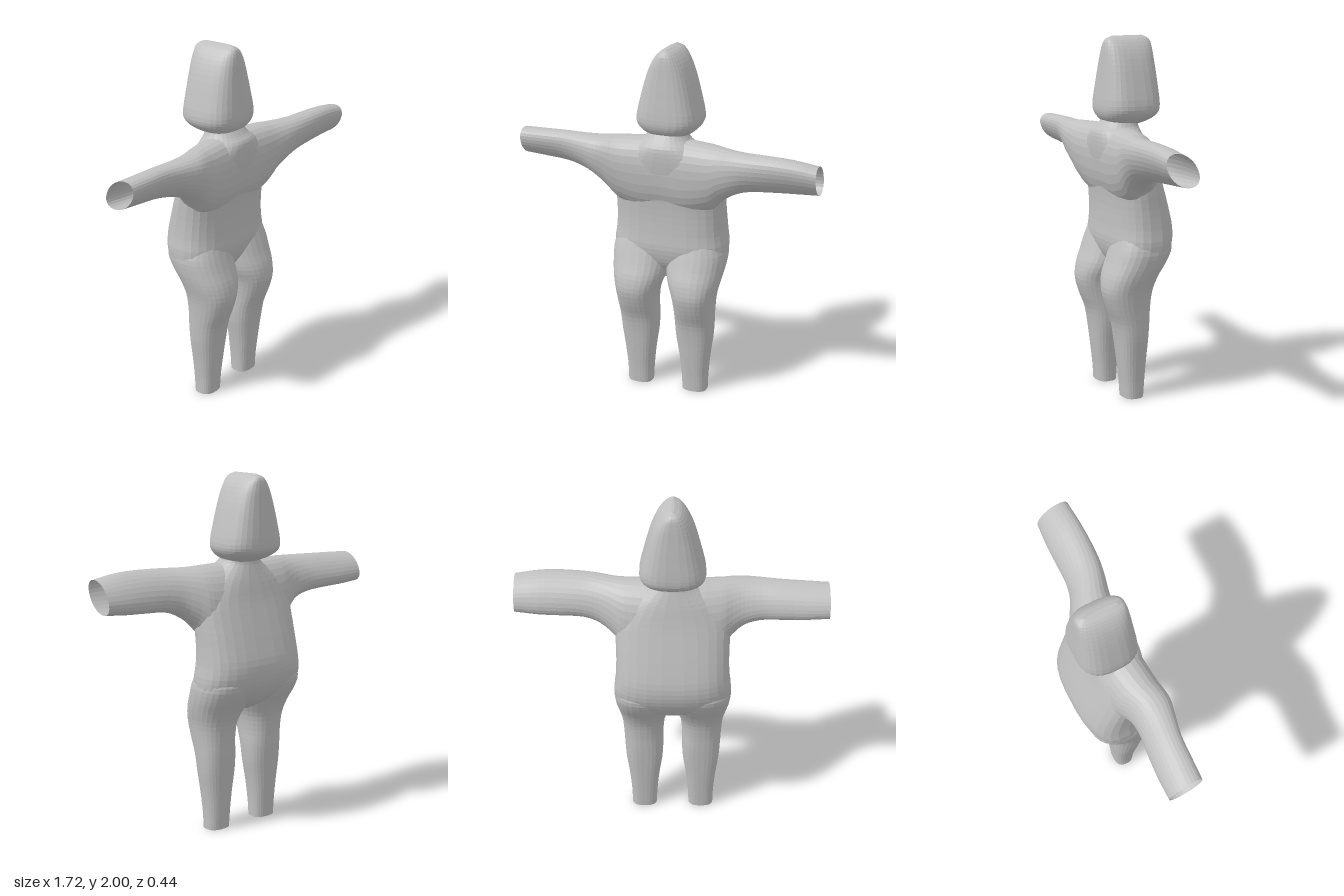
import * as THREE from 'three';

const SIDES = 28;

// Lofts rounded-box sections [t, uMin, uMax, vMin, vMax, squareness, shear] along y (u=x, v=z) or x (u=z, v=y)
function loft(sections, { axis = 'y', steps = 3, capStart = false, capEnd = false } = {}) {
  const curve = new THREE.CubicInterpolant(sections.map((_, i) => i), sections.flat(), 7);
  const rows = (sections.length - 1) * steps;
  const pos = [], idx = [];
  const put = (t, u, v) => axis === 'y' ? pos.push(u, t, v) : pos.push(t, v, u);
  const power = (c, n) => Math.sign(c) * Math.abs(c) ** (2 / n);
  const ends = [];
  for (let j = 0; j <= rows; j++) {
    const [t, u0, u1, v0, v1, n, shear] = curve.evaluate(j / steps);
    const uc = (u0 + u1) / 2, vc = (v0 + v1) / 2;
    if (j === 0 || j === rows) ends.push([t, uc, vc]);
    for (let i = 0; i < SIDES; i++) {
      const a = (i + 0.5) / SIDES * Math.PI * 2;
      const dv = power(Math.sin(a), n) * (v1 - v0) / 2;
      put(t, uc + power(Math.cos(a), n) * (u1 - u0) / 2 + shear * dv, vc + dv);
    }
  }
  for (let j = 0; j < rows; j++) for (let i = 0; i < SIDES; i++) {
    const k = (i + 1) % SIDES, a = j * SIDES + i, b = j * SIDES + k;
    idx.push(a, a + SIDES, b, b, a + SIDES, b + SIDES);
  }
  const cap = (end, row, flip) => {
    const c = pos.length / 3;
    put(...end);
    for (let i = 0; i < SIDES; i++) {
      const a = row * SIDES + i, b = row * SIDES + (i + 1) % SIDES;
      idx.push(c, flip ? a : b, flip ? b : a);
    }
  };
  if (capStart) cap(ends[0], 0, true);
  if (capEnd) cap(ends[1], rows, false);
  const g = new THREE.BufferGeometry();
  g.setAttribute('position', new THREE.Float32BufferAttribute(pos, 3));
  g.setIndex(idx);
  g.computeVertexNormals();
  return g;
}

export function createModel() {
  const model = new THREE.Group();
  model.name = 'figure';
  const grey = new THREE.MeshStandardMaterial({ color: 0xc0c0c0, flatShading: true, side: THREE.DoubleSide });
  grey.name = 'plain grey';
  const add = (name, geometry) => {
    const mesh = new THREE.Mesh(geometry, grey);
    mesh.name = name;
    mesh.position.x = -0.01;
    model.add(mesh);
  };

  // Torso, from crotch through the belly and chest up into the neck
  add('torso', loft([
    [0.69, -0.04, 0.04, -0.06, 0.05, 2, 0],
    [0.74, -0.20, 0.20, -0.13, 0.08, 2.2, 0],
    [0.80, -0.31, 0.31, -0.18, 0.115, 2.5, 0],
    [0.88, -0.328, 0.328, -0.215, 0.132, 2.7, 0],
    [0.97, -0.318, 0.318, -0.221, 0.127, 2.7, 0],
    [1.08, -0.313, 0.313, -0.195, 0.125, 2.7, 0],
    [1.20, -0.315, 0.315, -0.16, 0.135, 2.6, 0],
    [1.31, -0.31, 0.31, -0.128, 0.16, 2.5, 0],
    [1.41, -0.25, 0.25, -0.105, 0.17, 2.4, 0],
    [1.48, -0.17, 0.17, -0.087, 0.165, 2.2, 0],
    [1.515, -0.125, 0.125, -0.078, 0.135, 2.2, 0],
    [1.56, -0.105, 0.105, -0.075, 0.10, 2.2, 0],
  ], { capStart: true, capEnd: true }));

  // Head, an egg from the front that keeps its depth up to a ridge
  add('head', loft([
    [1.525, -0.09, 0.09, -0.09, 0.08, 2.4, 0],
    [1.545, -0.135, 0.135, -0.135, 0.115, 2.6, 0],
    [1.58, -0.17, 0.17, -0.18, 0.137, 2.8, 0],
    [1.63, -0.178, 0.178, -0.19, 0.142, 3, 0],
    [1.74, -0.153, 0.153, -0.183, 0.132, 3, 0],
    [1.85, -0.122, 0.122, -0.174, 0.121, 3, 0],
    [1.93, -0.088, 0.088, -0.168, 0.113, 3, 0],
    [1.98, -0.048, 0.048, -0.157, 0.10, 3, 0],
    [2.0, -0.008, 0.008, -0.12, 0.065, 2.6, 0],
  ], { capStart: true, capEnd: true }));

  // Both arms and the shoulders in one sweep, open at the wrists
  add('armsAndShoulders', loft([
    [-0.85, -0.06, 0.11, 1.32, 1.485, 2.1, 0.45],
    [-0.72, -0.055, 0.115, 1.31, 1.49, 2.1, 0.45],
    [-0.59, -0.045, 0.125, 1.303, 1.495, 2.1, 0.4],
    [-0.48, -0.035, 0.155, 1.287, 1.498, 2.1, 0.3],
    [-0.39, -0.037, 0.178, 1.25, 1.501, 2.2, 0.2],
    [-0.325, -0.055, 0.178, 1.19, 1.505, 2.2, 0.15],
    [-0.26, -0.085, 0.172, 1.12, 1.507, 2.2, 0.13],
    [-0.13, -0.105, 0.165, 1.08, 1.512, 2.3, 0.1],
    [0, -0.11, 0.16, 1.08, 1.515, 2.3, 0.1],
    [0.13, -0.105, 0.165, 1.08, 1.512, 2.3, 0.1],
    [0.26, -0.085, 0.172, 1.12, 1.507, 2.2, 0.13],
    [0.325, -0.05, 0.18, 1.19, 1.503, 2.2, 0.15],
    [0.40, -0.01, 0.195, 1.245, 1.503, 2.2, 0.2],
    [0.49, 0.01, 0.205, 1.277, 1.505, 2.1, 0.3],
    [0.62, 0.018, 0.205, 1.288, 1.507, 2.1, 0.4],
    [0.74, 0.022, 0.202, 1.295, 1.502, 2.1, 0.45],
    [0.87, 0.03, 0.20, 1.306, 1.483, 2.1, 0.45],
  ], { axis: 'x' }));

  // Legs with full knees and thighs running up into the hips, open at the ankles
  const leg = [
    [0, 0.095, 0.24, -0.03, 0.088, 2.6, 0],
    [0.10, 0.09, 0.243, -0.037, 0.095, 2.6, 0],
    [0.22, 0.078, 0.254, -0.046, 0.108, 2.6, 0],
    [0.34, 0.06, 0.27, -0.055, 0.121, 2.6, 0],
    [0.44, 0.054, 0.277, -0.062, 0.14, 2.5, 0],
    [0.53, 0.053, 0.283, -0.068, 0.176, 2.4, 0],
    [0.62, 0.042, 0.293, -0.082, 0.2, 2.4, 0],
    [0.70, 0.012, 0.311, -0.115, 0.19, 2.4, 0],
    [0.78, -0.005, 0.325, -0.165, 0.16, 2.4, 0],
    [0.86, -0.005, 0.326, -0.195, 0.132, 2.4, 0],
    [0.95, 0.02, 0.29, -0.17, 0.10, 2.4, 0],
  ];
  add('leftLeg', loft(leg, { capEnd: true }));
  add('rightLeg', loft(leg.map(([y, x0, x1, ...rest]) => [y, -x1, -x0, ...rest]), { capEnd: true }));

  return model;
}
